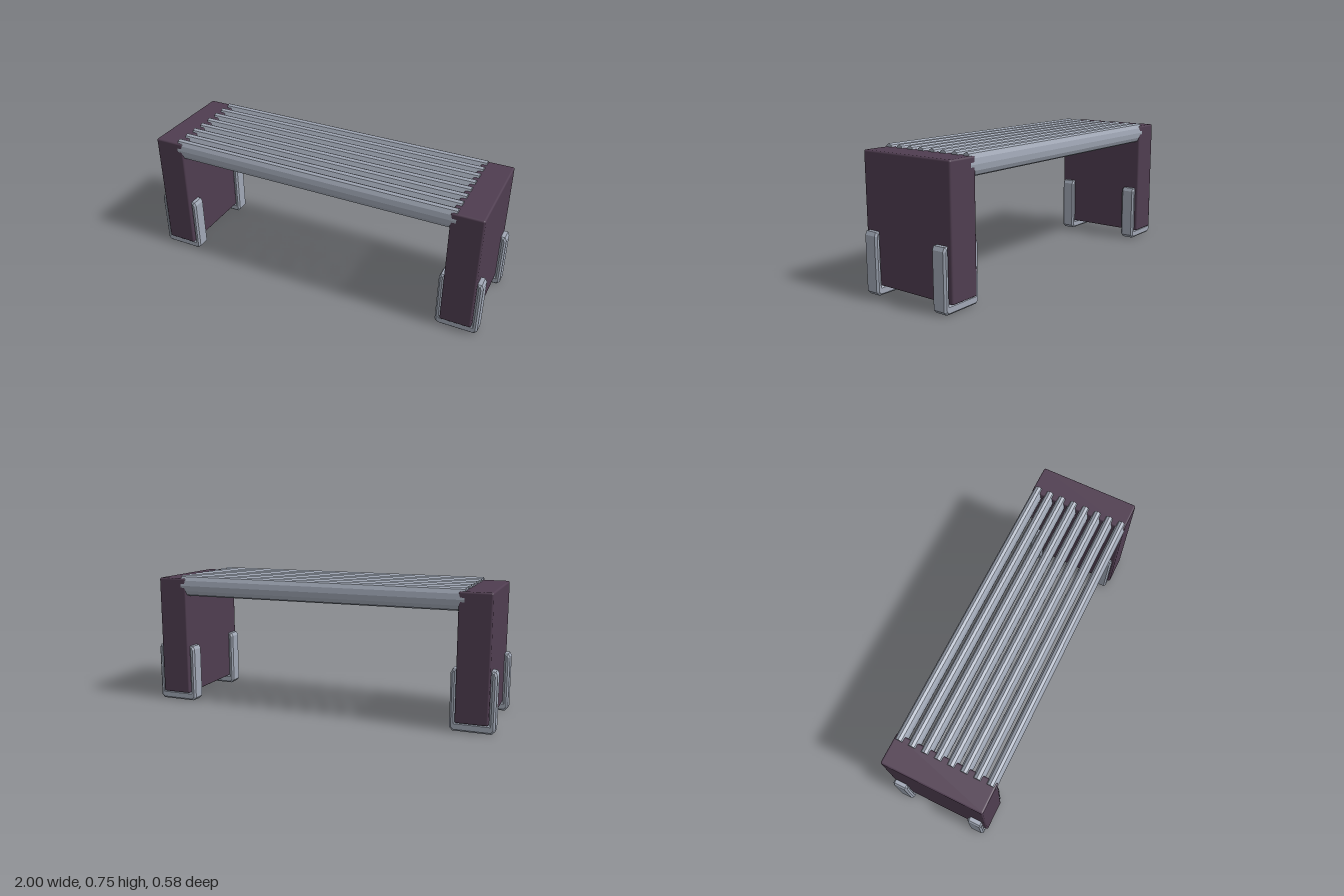
import * as THREE from 'three';
import { RoundedBoxGeometry } from 'three/addons/geometries/RoundedBoxGeometry.js';

export function createModel() {
  const model = new THREE.Group();
  model.name = 'bench';

  const plum = new THREE.MeshStandardMaterial({ color: 0x4f3d50 });
  plum.name = 'plum panel';
  const steel = new THREE.MeshStandardMaterial({ color: 0xa0a7b5 });
  steel.name = 'grey metal';

  const add = (name, geometry, material, x, y, z) => {
    const mesh = new THREE.Mesh(geometry, material);
    mesh.name = name;
    mesh.position.set(x, y, z);
    model.add(mesh);
    return mesh;
  };

  // U-shaped bracket outline with chamfered corners, inset by the bevel
  const b = 0.01, c = 0.012;
  const outer = 0.119 - b, inner = 0.087 + b, top = 0.33 - b;
  const half = [
    [outer - c, b], [outer, b + c], [outer, top - c], [outer - c / 2, top],
    [inner, top], [inner, 0.05 - b],
  ];
  const mirrored = half.map(([x, y]) => [-x, y]).reverse();
  const outline = [...half, ...mirrored].map(([x, y]) => new THREE.Vector2(x, y));
  const depth = 0.086;
  const footGeometry = new THREE.ExtrudeGeometry(new THREE.Shape(outline), {
    depth: depth - 2 * b, bevelEnabled: true, bevelThickness: b, bevelSize: b, bevelSegments: 1,
  });
  footGeometry.translate(0, 0, b - depth / 2);

  // End panels, each standing in two brackets
  const panelGeometry = new RoundedBoxGeometry(0.174, 0.684, 0.578, 2, 0.01);
  for (const [side, sx] of [['left', 1], ['right', -1]]) {
    add(side + 'EndPanel', panelGeometry, plum, sx * 0.88, 0.39, 0);
    for (const [end, sz] of [['Front', 1], ['Back', -1]]) {
      add(side + end + 'Foot', footGeometry, steel, sx * 0.881, 0, sz * 0.231);
    }
  }

  // Seat slats: tall twelve-sided bars running between the panels
  const slatGeometry = new THREE.CylinderGeometry(1, 1, 1.65, 12).toNonIndexed();
  slatGeometry.rotateZ(Math.PI / 2);
  slatGeometry.scale(1, 0.06, 0.0305);
  slatGeometry.computeVertexNormals();
  for (let i = 0; i < 8; i++) {
    add('seatSlat' + (i + 1), slatGeometry, steel, 0, 0.69, (i - 3.5) * 0.0743);
  }
  return model;
}
